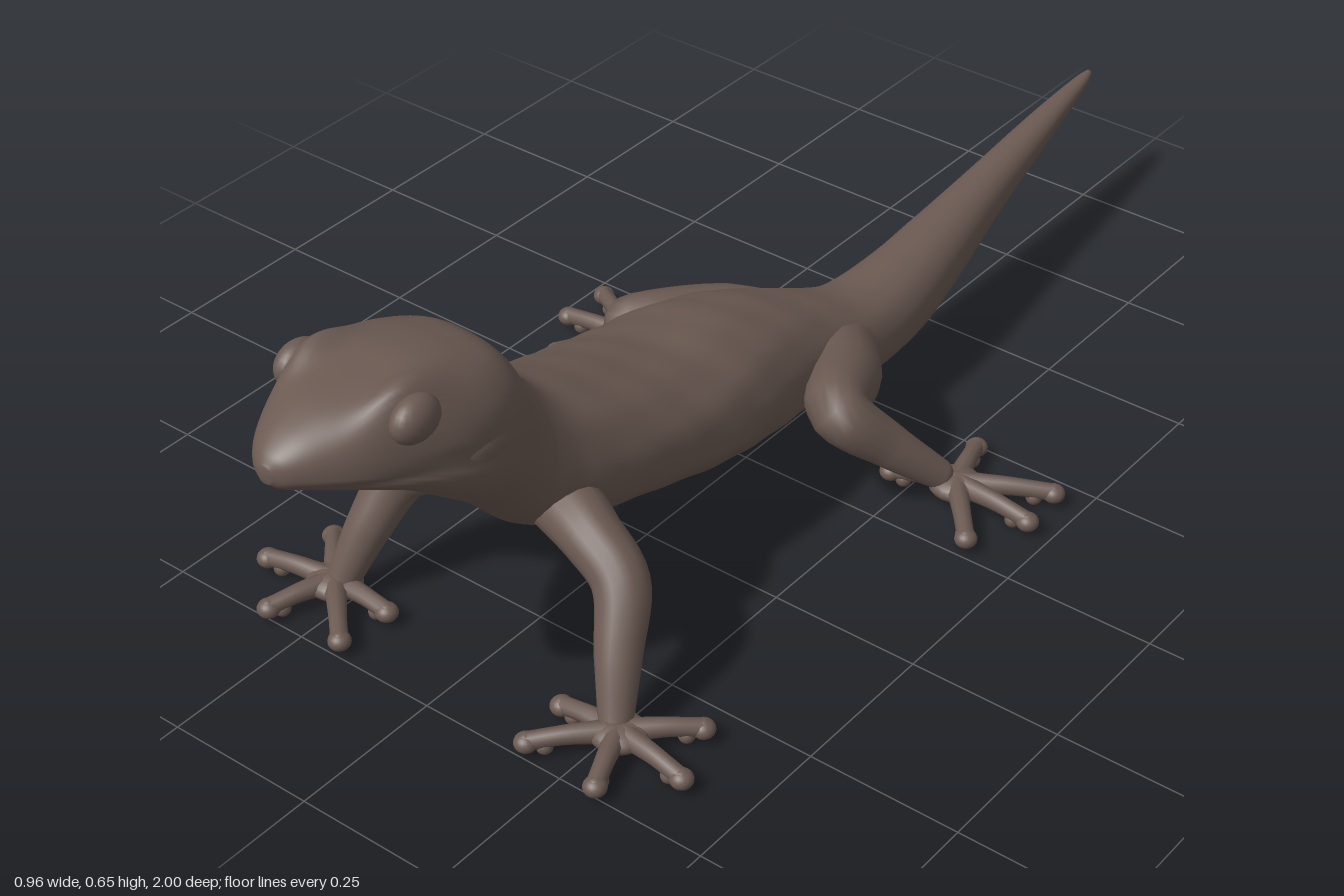
import * as THREE from 'three';

const skin = new THREE.MeshStandardMaterial({ color: 0x6b5a52 });
skin.name = 'brown skin';

// Body stations from snout to tail tip: z, centre x, half width, top, bottom, height fraction of the widest line
const stations = [
  [1.0, -0.01, 0.012, 0.575, 0.548, 0.5],
  [0.985, -0.01, 0.036, 0.592, 0.535, 0.45],
  [0.95, -0.01, 0.067, 0.612, 0.522, 0.35],
  [0.9, -0.008, 0.097, 0.628, 0.502, 0.32],
  [0.83, -0.004, 0.122, 0.636, 0.466, 0.36],
  [0.76, 0, 0.138, 0.637, 0.412, 0.45],
  [0.69, 0, 0.138, 0.622, 0.352, 0.58],
  [0.63, 0, 0.12, 0.595, 0.292, 0.62],
  [0.58, 0, 0.106, 0.52, 0.24, 0.55],
  [0.53, 0, 0.112, 0.466, 0.21, 0.48],
  [0.46, 0, 0.128, 0.433, 0.193, 0.45],
  [0.36, 0, 0.146, 0.397, 0.178, 0.43],
  [0.24, 0, 0.156, 0.362, 0.154, 0.42],
  [0.12, 0, 0.15, 0.345, 0.13, 0.42],
  [0.0, 0.005, 0.13, 0.312, 0.112, 0.42],
  [-0.1, 0.02, 0.108, 0.272, 0.095, 0.45],
  [-0.2, 0.045, 0.082, 0.238, 0.086, 0.48],
  [-0.32, 0.052, 0.071, 0.238, 0.094, 0.5],
  [-0.45, 0.044, 0.059, 0.245, 0.12, 0.5],
  [-0.62, 0.028, 0.042, 0.252, 0.163, 0.5],
  [-0.82, 0.01, 0.027, 0.26, 0.208, 0.5],
  [-0.96, -0.003, 0.014, 0.261, 0.234, 0.5],
  [-1.0, -0.006, 0.006, 0.26, 0.246, 0.5],
];

const bump = (d, w) => Math.exp(-(d * d) / (w * w));
const power = (v, p) => Math.sign(v) * Math.pow(Math.abs(v), p);

function bodyGeometry() {
  const RINGS = 190, SIDES = 72;
  const plan = new THREE.CatmullRomCurve3(stations.map(s => new THREE.Vector3(s[0], s[1], s[2])), false, 'catmullrom');
  const side = new THREE.CatmullRomCurve3(stations.map(s => new THREE.Vector3(s[3], s[4], s[5])), false, 'catmullrom');
  const pos = [], idx = [];
  for (let i = 0; i <= RINGS; i++) {
    const { x: z, y: cx, z: hw } = plan.getPoint(i / RINGS);
    const { x: top, y: bottom, z: f } = side.getPoint(i / RINGS);
    const cy = bottom + (top - bottom) * f;
    // mouth crease and brows on the head, loose folds on the neck, fine lumps on the trunk
    const mouthY = 0.505 + (z - 0.72) * 0.14;
    const head = THREE.MathUtils.smoothstep(z, 0.7, 0.76);
    const fold = 0.03 * bump(z - 0.575, 0.02);
    const trunk = bump(z - 0.2, 0.45) * 0.014;
    const box = 0.92 - 0.2 * bump(z - 0.76, 0.14);
    for (let j = 0; j < SIDES; j++) {
      const a = j / SIDES * Math.PI * 2, c = Math.cos(a), s = Math.sin(a);
      const lumps = trunk * Math.sin(z * 41 + a * 3) * Math.sin(a * 7 - z * 23);
      let y = cy + power(s, box) * (s > 0 ? top - cy : cy - bottom) * (1 + lumps);
      const crease = head * 0.05 * bump(y - mouthY, 0.007);
      const x = power(c, box) * hw * (1 - crease - fold + lumps);
      if (s > 0) y += 0.042 * s * bump(Math.abs(x) - 0.092, 0.032) * bump(z - 0.835, 0.065);
      pos.push(cx + x, y, z);
      if (i < RINGS) {
        const p = i * SIDES + j, q = i * SIDES + (j + 1) % SIDES;
        idx.push(p, p + SIDES, q, q, p + SIDES, q + SIDES);
      }
    }
  }
  // close the snout and the tail tip
  const n = pos.length / 3;
  pos.push(-0.01, 0.561, 1.002, -0.006, 0.253, -1.002);
  for (let j = 0; j < SIDES; j++) {
    const k = (j + 1) % SIDES, last = RINGS * SIDES;
    idx.push(n, j, k, n + 1, last + k, last + j);
  }
  const g = new THREE.BufferGeometry();
  g.setAttribute('position', new THREE.Float32BufferAttribute(pos, 3));
  g.setIndex(idx);
  g.computeVertexNormals();
  return g;
}

function add(parent, name, geometry) {
  const m = new THREE.Mesh(geometry, skin);
  m.name = name;
  parent.add(m);
  return m;
}

function ellipsoid(parent, name, p, r) {
  const m = add(parent, name, new THREE.SphereGeometry(1, 20, 14));
  m.position.set(...p);
  m.scale.set(...r);
  return m;
}

// Tube through points whose radius follows a list, with rounded ends
function limb(parent, name, points, radii, segs = 28, sides = 16) {
  const curve = new THREE.CatmullRomCurve3(points.map(p => new THREE.Vector3(...p)));
  const g = new THREE.TubeGeometry(curve, segs, 1, sides);
  const P = g.attributes.position, N = g.attributes.normal;
  for (let i = 0; i <= segs; i++) {
    const c = curve.getPointAt(i / segs);
    const t = i / segs * (radii.length - 1), k = Math.min(Math.floor(t), radii.length - 2);
    const r = THREE.MathUtils.lerp(radii[k], radii[k + 1], t - k);
    for (let j = 0; j <= sides; j++) {
      const v = i * (sides + 1) + j;
      P.setXYZ(v, c.x + N.getX(v) * r, c.y + N.getY(v) * r, c.z + N.getZ(v) * r);
    }
  }
  add(parent, name, g);
  [[points[0], radii[0]], [points.at(-1), radii.at(-1)]].forEach(([p, r]) => ellipsoid(parent, name + 'End', p, [r, r, r]));
}

// Palm with five spread toes, each ending in a flattened pad
function foot(parent, name, palm, tips, s) {
  const g = new THREE.Group();
  g.name = name;
  parent.add(g);
  const [px, pz] = palm;
  ellipsoid(g, 'palm', [s * px, 0.032, pz], [0.045, 0.021, 0.042]);
  tips.forEach(([x, z]) => {
    const mid = [s * (px + (x - px) * 0.55), 0.034, pz + (z - pz) * 0.55];
    limb(g, 'toe', [[s * px, 0.034, pz], mid, [s * x, 0.027, z]], [0.02, 0.016, 0.014, 0.014], 10, 10);
    ellipsoid(g, 'toePad', [s * x, 0.025, z], [0.018, 0.015, 0.018]);
    ellipsoid(g, 'toeSole', [s * (px + (x - px) * 0.8), 0.016, pz + (z - pz) * 0.8], [0.013, 0.013, 0.013]);
  });
}

export function createModel() {
  const model = new THREE.Group();
  model.name = 'gecko';
  add(model, 'body', bodyGeometry());

  for (const s of [1, -1]) {
    const label = s > 0 ? 'left' : 'right';

    // eye set under the brow, and the swelling at the jaw corner
    ellipsoid(model, label + 'Eye', [s * 0.104, 0.607, 0.835], [0.026, 0.034, 0.042]);
    ellipsoid(model, label + 'Cheek', [s * 0.1, 0.512, 0.72], [0.042, 0.05, 0.07]);

    // front leg
    limb(model, label + 'FrontLeg',
      [[s * 0.06, 0.27, 0.515], [s * 0.14, 0.25, 0.54], [s * 0.207, 0.21, 0.557], [s * 0.24, 0.125, 0.605], [s * 0.262, 0.045, 0.64]],
      [0.055, 0.046, 0.042, 0.035, 0.026]);
    foot(model, label + 'FrontFoot', [0.275, 0.65],
      [[0.36, 0.565], [0.4, 0.665], [0.315, 0.75], [0.18, 0.74], [0.17, 0.65]], s);

    // hind leg, its hip following the bend of the tail root
    limb(model, label + 'HindLeg',
      [[0.038 + s * 0.04, 0.165, -0.145], [0.015 + s * 0.13, 0.19, -0.06], [s * 0.2, 0.198, 0.028], [s * 0.25, 0.125, -0.03], [s * 0.3, 0.05, -0.1]],
      [0.06, 0.06, 0.047, 0.036, 0.025]);
    foot(model, label + 'HindFoot', [0.325, -0.115],
      [[0.292, -0.222], [0.455, -0.195], [0.462, -0.11], [0.41, -0.018], [0.22, -0.088]], s);
  }
  return model;
}
